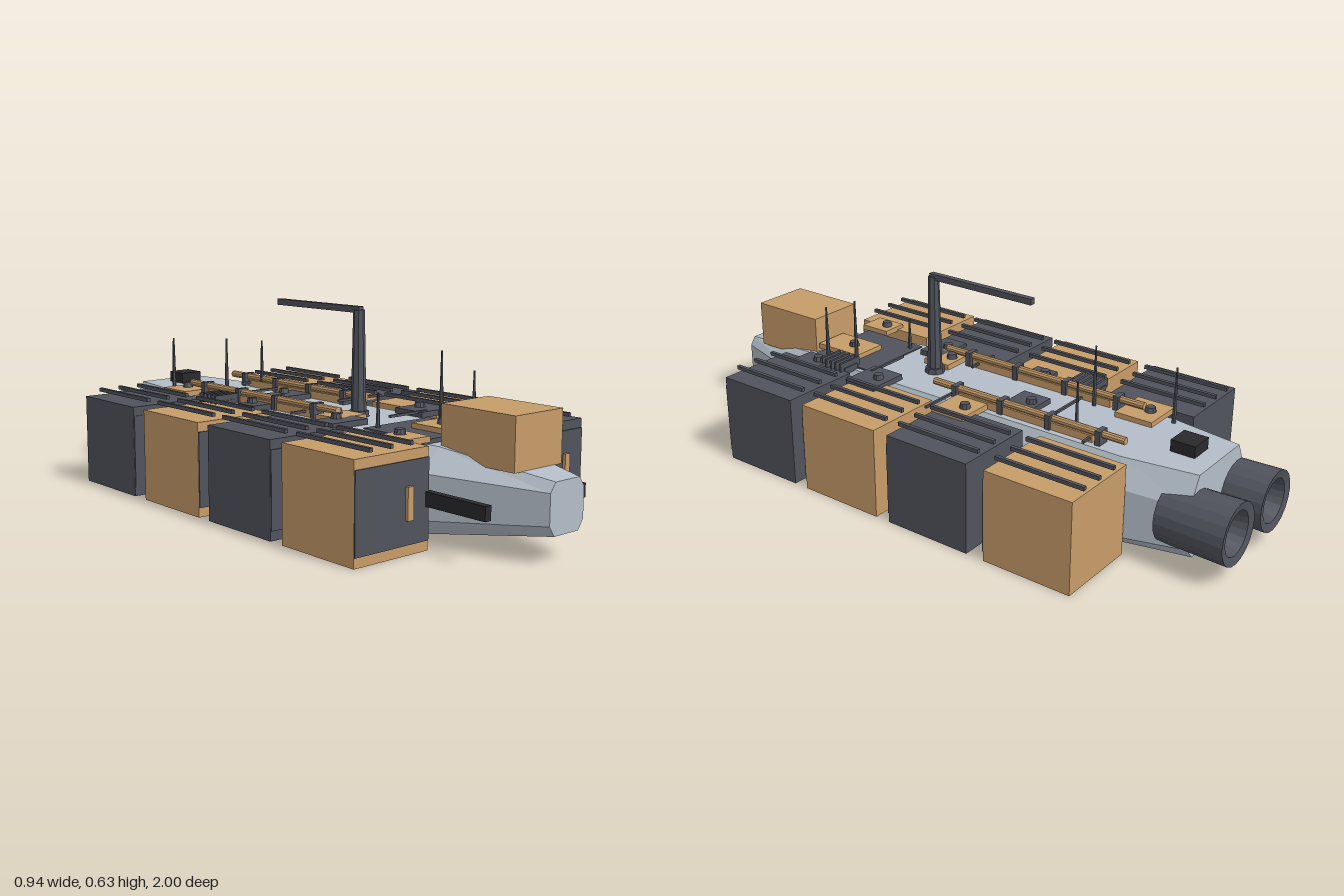
import * as THREE from 'three';

const mat = (name, color) => {
  const m = new THREE.MeshStandardMaterial({ color, flatShading: true });
  m.name = name;
  return m;
};

export function createModel() {
  const root = new THREE.Group();
  root.name = 'cargoShip';
  const hullGrey = mat('hullGrey', 0xb4bec8);
  const slate = mat('slate', 0x50535c);
  const tan = mat('tan', 0xc69c68);
  const black = mat('black', 0x29292c);

  const add = (name, geo, material, x = 0, y = 0, z = 0, parent = root) => {
    const m = new THREE.Mesh(geo, material);
    m.name = name;
    m.position.set(x, y, z);
    parent.add(m);
    return m;
  };
  const box = (name, material, w, h, d, x, y, z, parent) =>
    add(name, new THREE.BoxGeometry(w, h, d), material, x, y, z, parent);
  const cyl = (name, material, rTop, rBot, h, x, y, z, sides = 8) =>
    add(name, new THREE.CylinderGeometry(rTop, rBot, h, sides), material, x, y, z);

  // Hull: eight-sided sections [z, side, top, bottom half widths, four heights]
  const sections = [
    [-0.87, 0.165, 0.12, 0.13, 0.03, 0.07, 0.2, 0.29],
    [-0.64, 0.198, 0.155, 0.155, 0.012, 0.05, 0.21, 0.29],
    [0.36, 0.198, 0.155, 0.155, 0.012, 0.05, 0.21, 0.286],
    [0.64, 0.188, 0.115, 0.145, 0.03, 0.075, 0.21, 0.275],
    [1.0, 0.07, 0.05, 0.05, 0.08, 0.11, 0.2, 0.228],
  ].map(([z, s, t, b, y0, y1, y2, y3]) => [
    [-b, y0, z], [b, y0, z], [s, y1, z], [s, y2, z],
    [t, y3, z], [-t, y3, z], [-s, y2, z], [-s, y1, z],
  ]);
  const pos = [];
  const tri = (...pts) => pts.forEach((p) => pos.push(...p));
  for (let i = 0; i < sections.length - 1; i++) {
    const a = sections[i], b = sections[i + 1];
    for (let j = 0; j < 8; j++) {
      const k = (j + 1) % 8;
      tri(a[j], a[k], b[k]);
      tri(a[j], b[k], b[j]);
    }
  }
  const back = sections[0], nose = sections[sections.length - 1];
  for (let j = 1; j < 7; j++) {
    tri(nose[0], nose[j], nose[j + 1]);
    tri(back[0], back[j + 1], back[j]);
  }
  const hullGeo = new THREE.BufferGeometry();
  hullGeo.setAttribute('position', new THREE.Float32BufferAttribute(pos, 3));
  hullGeo.computeVertexNormals();
  add('hull', hullGeo, hullGrey);

  // Cargo containers: four a side in alternating colours
  [-0.53, -0.17, 0.18, 0.53].forEach((z, row) => {
    for (const side of [-1, 1]) {
      const isTan = (row % 2 === 0) === (side === 1);
      const g = new THREE.Group();
      g.name = 'container';
      g.position.set(side * 0.333, 0, z);
      root.add(g);
      box('containerBody', isTan ? tan : slate, 0.274, 0.294, 0.298, 0, 0.147, 0, g);
      box('frontPanel', slate, 0.272, 0.235, 0.006, 0, 0.1475, 0.15, g);
      box('doorHandle', tan, 0.022, 0.095, 0.012, 0.058, 0.1475, 0.157, g);
      for (const x of [-0.075, 0, 0.075]) {
        box('roofRail', slate, 0.012, 0.012, 0.3, side * 0.003 + x, 0.311, 0, g);
      }
    }
  });

  // Links between neighbouring containers
  for (const side of [-1, 1]) {
    for (const z of [-0.35, 0.005, 0.355]) {
      box('containerLink', slate, 0.03, 0.04, 0.07, side * 0.21, 0.147, z);
    }
    // Nose guns
    box('gun', black, 0.023, 0.042, 0.57, side * 0.198, 0.148, 0.615);
  }

  // Engines: hollow nozzles with dark cores
  const nozzle = [
    [0.0, 0.1], [0.045, 0.1], [0.07, 0.215], [0.097, 0.22], [0.092, 0.0], [0.0, 0.0],
  ].map(([r, y]) => new THREE.Vector2(r, y)).reverse();
  for (const side of [-1, 1]) {
    const e = add('engine', new THREE.LatheGeometry(nozzle, 20), slate, side * 0.117, 0.147, -0.78);
    e.rotation.x = -Math.PI / 2;
    const core = cyl('engineCore', black, 0.045, 0.045, 0.01, side * 0.117, 0.147, -0.885, 16);
    core.rotation.x = Math.PI / 2;
  }

  // Bow cargo crate and stern sensor
  box('bowCrate', tan, 0.196, 0.155, 0.27, 0, 0.3175, 0.765);
  box('sternSensor', black, 0.08, 0.04, 0.08, 0, 0.307, -0.77);

  // Mast with boom
  cyl('mast', slate, 0.018, 0.025, 0.34, 0, 0.45, 0.18, 8);
  cyl('mastFoot', slate, 0.032, 0.034, 0.02, 0, 0.295, 0.18, 8);
  box('boom', slate, 0.02, 0.02, 0.4, 0, 0.62, -0.01);

  // Antennas [x, z, top]
  for (const [x, z, top] of [
    [0.113, 0.56, 0.46], [0.105, 0.435, 0.508], [-0.1, 0.375, 0.395],
    [-0.093, -0.385, 0.488], [0.113, -0.455, 0.46], [-0.133, -0.645, 0.47],
  ]) {
    cyl('antenna', slate, 0.003, 0.008, top - 0.27, x, (top + 0.27) / 2, z, 6);
  }

  // Dark bow deck
  box('bowDeck', slate, 0.27, 0.02, 0.25, 0, 0.28, 0.475);

  // Deck hatches [x, z, width, depth, material], each with a round cap
  for (const [x, z, w, d, m] of [
    [-0.13, -0.545, 0.14, 0.13, tan], [0.04, -0.22, 0.12, 0.1, slate],
    [0.195, -0.08, 0.13, 0.12, tan], [0.19, 0.28, 0.14, 0.12, slate],
    [-0.09, 0.2, 0.12, 0.1, tan], [-0.165, -0.13, 0.085, 0.08, slate],
    [-0.15, 0.265, 0.14, 0.09, slate], [-0.18, 0.57, 0.09, 0.11, tan],
    [0.03, 0.535, 0.12, 0.18, tan], [0.2, 0.54, 0.08, 0.11, slate],
  ]) {
    box('hatch', m, w, 0.018, d, x, 0.297, z);
    cyl('hatchCap', slate, 0.015, 0.018, 0.016, x, 0.314, z - 0.02, 10);
  }

  // Deck pipes with clamps [x, rear z, front z]
  for (const [x, z0, z1] of [[-0.12, -0.55, 0.22], [0.12, -0.63, 0.08]]) {
    const pipe = cyl('deckPipe', tan, 0.012, 0.012, z1 - z0, x, 0.322, (z0 + z1) / 2, 10);
    pipe.rotation.x = Math.PI / 2;
    box('pipeBed', tan, 0.028, 0.03, (z1 - z0) * 0.7, x, 0.298, (z0 + z1) / 2);
    for (let i = 0; i < 4; i++) {
      box('pipeClamp', slate, 0.042, 0.05, 0.018, x, 0.31, z0 + (z1 - z0) * (0.12 + i * 0.25));
    }
  }

  // Finned radiators
  for (const [x, z] of [[-0.19, -0.3], [0.165, 0.455]]) {
    box('radiatorBase', slate, 0.06, 0.022, 0.1, x, 0.292, z);
    for (let i = -2; i <= 2; i++) {
      box('radiatorFin', slate, 0.09, 0.03, 0.008, x, 0.307, z + i * 0.021);
    }
  }

  // Thin cross rods over the deck [x, z, length]
  for (const [x, z, len] of [
    [0.17, 0.0, 0.19], [-0.13, 0.08, 0.12], [0.0, -0.34, 0.18], [0.12, -0.515, 0.1], [0.08, 0.32, 0.16],
  ]) {
    box('crossRod', slate, len, 0.008, 0.008, x, 0.304, z);
  }

  return root;
}
